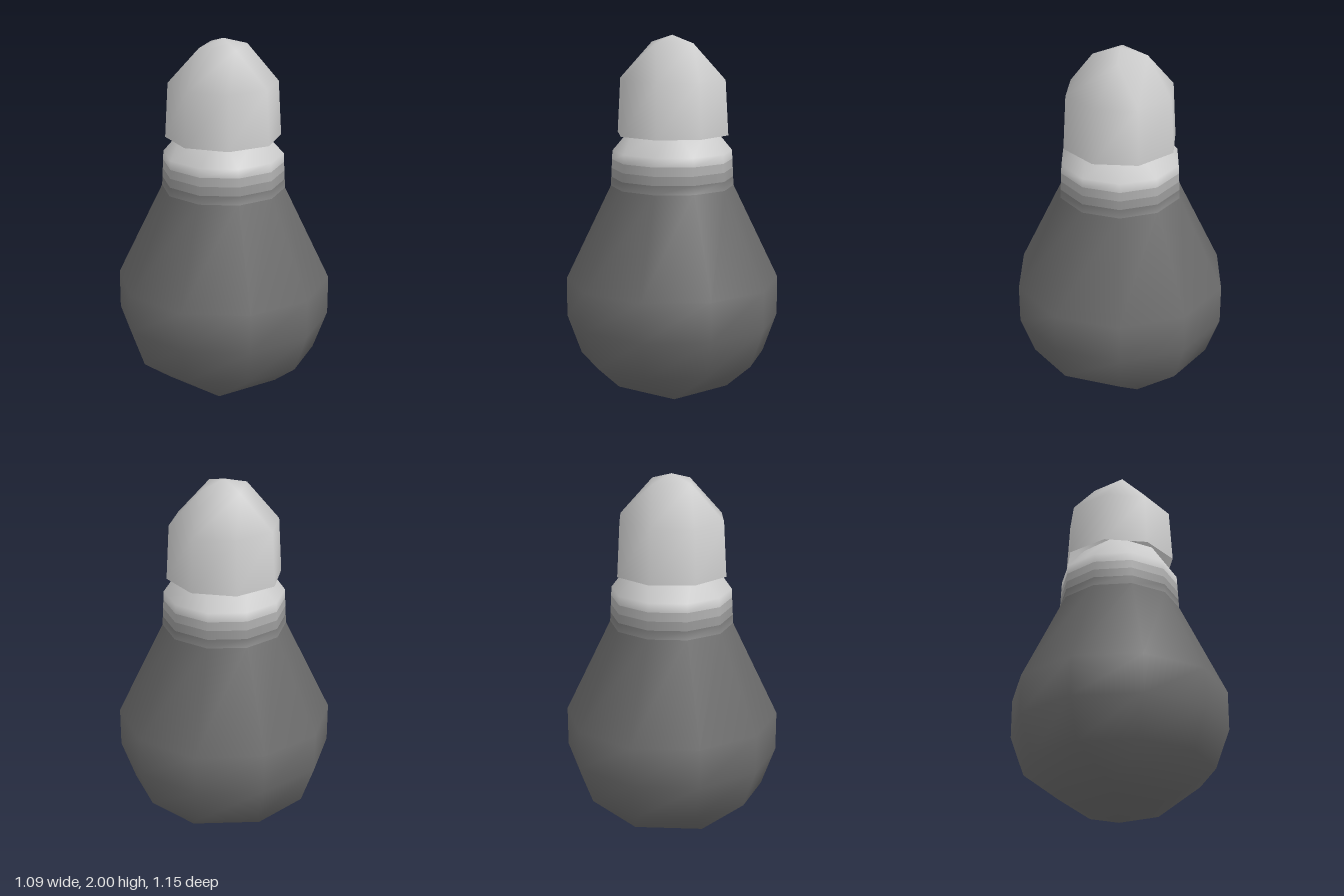
import * as THREE from 'three';
import { mergeVertices } from 'three/addons/utils/BufferGeometryUtils.js';

// Smooth skin through rings [y, radius, halved]; a halved ring merges its corners in pairs.
// Returns a function that cuts out the bands between two rings, keeping the shared normals.
function loft(rings, sides, phase) {
  const pos = [], idx = [];
  for (const [y, r, halved] of rings) {
    for (let i = 0; i < sides; i++) {
      const k = halved ? Math.floor(i / 2) * 2 + 0.5 : i;
      const a = ((k + phase) * Math.PI * 2) / sides;
      pos.push(r * Math.cos(a), y, r * Math.sin(a));
    }
  }
  for (let j = 0; j < rings.length - 1; j++) {
    for (let i = 0; i < sides; i++) {
      const n = (i + 1) % sides;
      const a = j * sides + i, b = j * sides + n, c = b + sides, d = a + sides;
      idx.push(a, d, b, d, c, b);
    }
  }
  let geo = new THREE.BufferGeometry();
  geo.setAttribute('position', new THREE.Float32BufferAttribute(pos, 3));
  geo.setIndex(idx);
  geo = mergeVertices(geo, 1e-4);
  geo.computeVertexNormals();

  return (from, to) => {
    const all = geo.index.array, kept = [];
    for (let t = from * sides * 6; t < to * sides * 6; t += 3) {
      const [a, b, c] = [all[t], all[t + 1], all[t + 2]];
      if (a !== b && b !== c && c !== a) kept.push(a, b, c);
    }
    const part = geo.clone();
    part.setIndex(kept);
    return part.toNonIndexed();
  };
}

export function createModel() {
  const model = new THREE.Group();
  const light = new THREE.Color(0xcccccc);
  const dark = new THREE.Color(0x6b6b6b);

  const add = (name, geometry, color, side = THREE.FrontSide) => {
    const mesh = new THREE.Mesh(geometry, new THREE.MeshStandardMaterial({ color, side }));
    mesh.name = name;
    model.add(mesh);
  };

  // Ten-sided bulb: rounded bottom, wide belly, tapered shoulder, neck and hidden top
  const steps = 4;
  const neckRings = [];
  for (let s = 0; s <= steps; s++) {
    const t = s / steps;
    neckRings.push([1.2 + 0.19 * t, 0.33 - 0.01 * t]);
  }
  const bulb = loft([
    [0, 0], [0.1, 0.31, true], [0.27, 0.5], [0.48, 0.575], [0.69, 0.575],
    ...neckRings,
    [1.55, 0.2, true], [1.6, 0],
  ], 10, -0.5);
  add('body', bulb(0, 5), dark);

  // Neck bands fade from the dark body to the light top
  for (let s = 0; s < steps; s++) {
    add('neckBand' + (s + 1), bulb(5 + s, 6 + s), dark.clone().lerp(light, (s + 0.5) / steps));
  }
  add('neckTop', bulb(5 + steps, 7 + steps), light);

  // Eight-sided open cap sitting over the neck
  const cap = loft([[1.48, 0.307], [1.77, 0.29], [1.96, 0.14, true], [2, 0]], 8, 0);
  add('cap', cap(0, 3), light, THREE.DoubleSide);

  return model;
}
